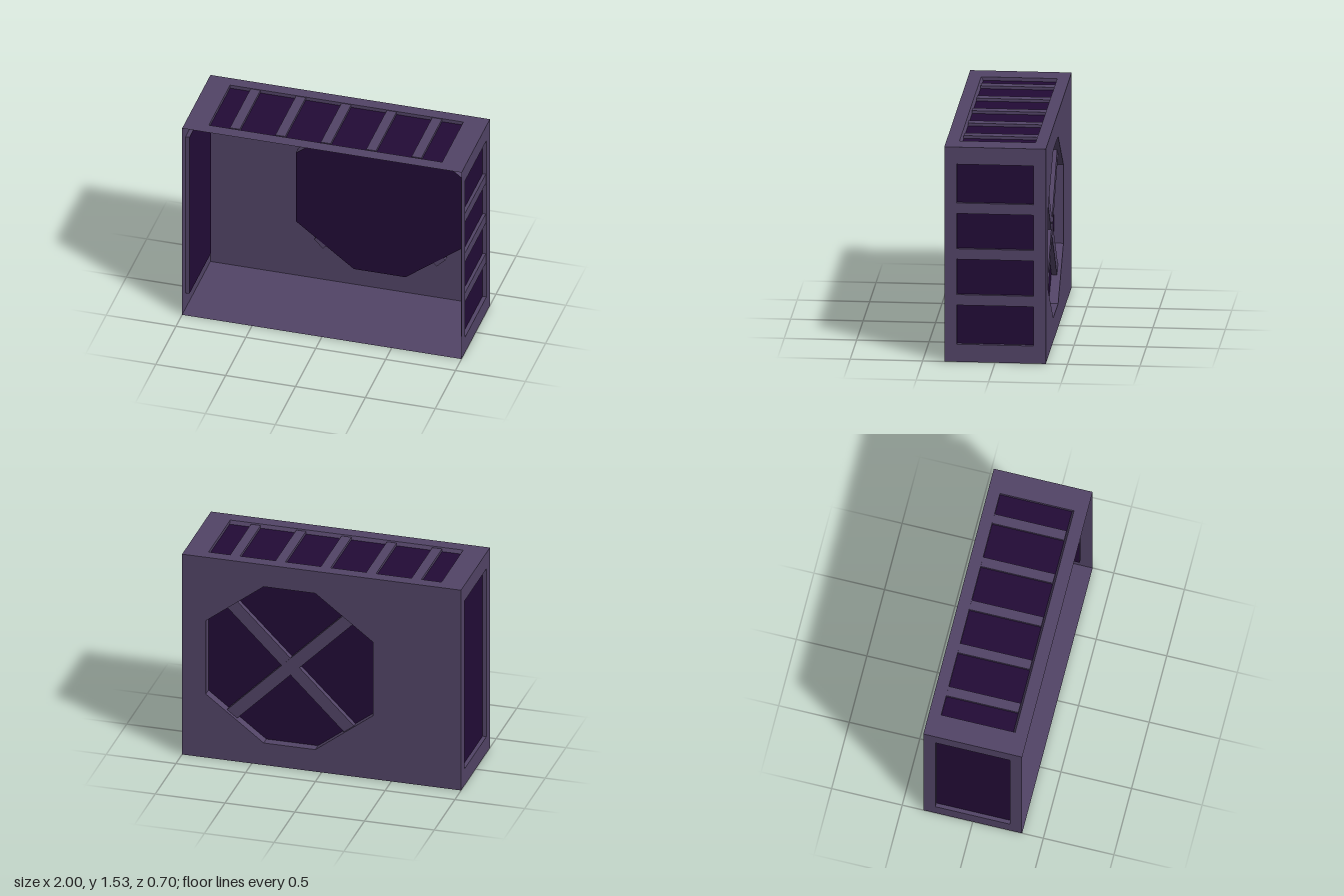
import * as THREE from 'three';

const W = 2, H = 1.53, D = 0.7;

export function createModel() {
  const casing = new THREE.MeshStandardMaterial({ name: 'casing purple', color: 0x524466, side: THREE.DoubleSide });
  const dark = new THREE.MeshStandardMaterial({ name: 'dark purple', color: 0x220b36, side: THREE.DoubleSide });
  const model = new THREE.Group();
  model.name = 'casing';

  const add = (parent, name, geometry, material) => {
    const mesh = new THREE.Mesh(geometry, material);
    mesh.name = name;
    parent.add(mesh);
    return mesh;
  };
  const rect = (x0, y0, x1, y1) => [[x0, y0], [x1, y0], [x1, y1], [x0, y1]].map(p => new THREE.Vector2(...p));

  // strip of faces joining the opening to its sunken panel
  function rimGeometry(outer, inner, depth) {
    const pos = [];
    outer.forEach((a, i) => {
      const j = (i + 1) % outer.length;
      const b = outer[j], c = inner[j], d = inner[i];
      pos.push(a.x, a.y, 0, b.x, b.y, 0, c.x, c.y, -depth);
      pos.push(a.x, a.y, 0, c.x, c.y, -depth, d.x, d.y, -depth);
    });
    const g = new THREE.BufferGeometry();
    g.setAttribute('position', new THREE.Float32BufferAttribute(pos, 3));
    g.computeVertexNormals();
    return g;
  }

  // thin wall facing local +z, with an optional sunken dark panel
  function wall(name, w, h, opening, depth, inner = opening) {
    const group = new THREE.Group();
    group.name = name;
    const shape = new THREE.Shape(rect(-w / 2, -h / 2, w / 2, h / 2));
    if (opening) {
      shape.holes.push(new THREE.Path(opening));
      add(group, name + 'Rim', rimGeometry(opening, inner, depth), casing);
      add(group, name + 'Panel', new THREE.ShapeGeometry(new THREE.Shape(inner)), dark).position.z = -depth;
    }
    add(group, name + 'Sheet', new THREE.ShapeGeometry(shape), casing);
    model.add(group);
    return group;
  }

  const sideHole = rect(-0.265, 0.125 - H / 2, 0.265, 1.408 - H / 2);

  // right wall with horizontal slats
  const right = wall('rightWall', D, H, sideHole, 0.028);
  right.position.set(W / 2, H / 2, 0);
  right.rotation.y = Math.PI / 2;
  for (const y of [0.44, 0.767, 1.093]) {
    add(right, 'sideSlat', new THREE.BoxGeometry(0.53, 0.075, 0.022), casing).position.set(0, y - H / 2, -0.016);
  }

  // left wall with a plain panel
  const left = wall('leftWall', D, H, sideHole, 0.028);
  left.position.set(-W / 2, H / 2, 0);
  left.rotation.y = -Math.PI / 2;

  // top wall with cross slats
  const top = wall('topWall', W, D, rect(-0.835, -0.26, 0.835, 0.265), 0.025, rect(-0.835, -0.245, 0.835, 0.265));
  top.position.y = H;
  top.rotation.x = -Math.PI / 2;
  for (let i = -2; i <= 2; i++) {
    add(top, 'topSlat', new THREE.BoxGeometry(0.07, 0.51, 0.02), casing).position.set(i * 0.325 - 0.003, 0.01, -0.014);
  }

  // floor
  const floor = wall('floor', W, D);
  floor.rotation.x = Math.PI / 2;

  // back wall with an eight-sided well and crossed bars
  const cx = -0.23;
  const octagon = [[0.185, 0.597], [0.6, 0.28], [0.6, -0.28], [0.185, -0.597],
    [-0.185, -0.597], [-0.6, -0.28], [-0.6, 0.28], [-0.185, 0.597]].map(([x, y]) => new THREE.Vector2(x + cx, y));
  const back = wall('backWall', W, H, octagon, 0.065);
  back.position.set(0, H / 2, -D / 2);
  back.rotation.y = Math.PI;
  for (const s of [-1, 1]) {
    const bar = add(back, 'crossBar', new THREE.BoxGeometry(1.24, 0.09, 0.038), casing);
    bar.position.set(cx, 0, -0.044 + s * 0.0005);
    bar.rotation.z = s * Math.PI / 4;
  }

  return model;
}
